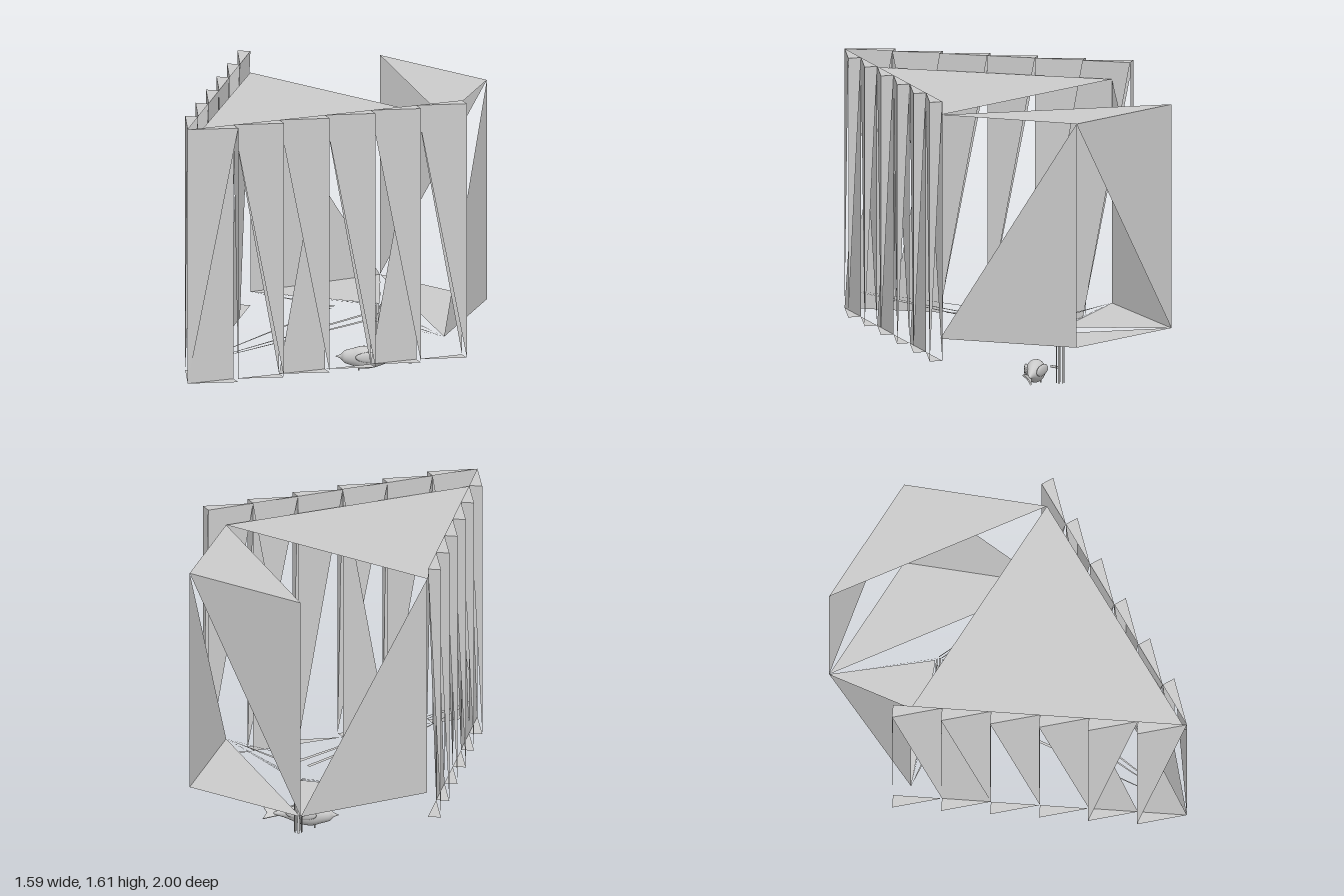
import * as THREE from 'three';

const mat = new THREE.MeshStandardMaterial({ color: 0xcccccc, side: THREE.DoubleSide });

// Mesh from a list of triangles, each three [x, y, z] corners
function panel(name, tris) {
  const g = new THREE.BufferGeometry();
  g.setAttribute('position', new THREE.Float32BufferAttribute(tris.flat(2), 3));
  g.computeVertexNormals();
  const m = new THREE.Mesh(g, mat);
  m.name = name;
  return m;
}

const LOW = 0.32, HIGH = 1.52;           // house floor and roof
const SLAT_LOW = 0.22, SLAT_HIGH = 1.61; // cladding ends
const at = (p, y) => [p[0], y, p[1]];

// Plan corners of the five-sided house
const TIP = [0, 0.99], SR = [0.67, -0.3], SL = [-0.67, -0.3], BR = [0.37, -1], BL = [-0.37, -1];

function buildHouse() {
  const house = new THREE.Group();
  house.name = 'house';
  const flat = (y, ...t) => t.map((p) => at(p, y));
  house.add(panel('roof', [flat(HIGH, SL, TIP, SR), flat(HIGH, BL, SR, BR)]));
  house.add(panel('backWall', [[at(BR, HIGH), at(BL, LOW), at(BL, HIGH)]]));
  house.add(panel('sideWallPositive', [[at(BR, HIGH), at(SR, LOW), at(BR, LOW)]]));
  house.add(panel('sideWallNegative', [[at(BL, LOW), at(SL, LOW), at(SL, HIGH)]]));
  house.add(panel('floor', [flat(LOW, SR, BR, BL), flat(LOW, BL, [-0.005, -0.57], SL)]));

  // Thin floor strips running from the corners to the perch hole and opening
  const strips = [
    [SL, [-0.15, -0.385], [-0.16, -0.35]],
    [SR, [0.1, -0.42], [0.14, -0.385]],
    [TIP, [0.15, -0.36], [0.175, -0.34]],
    [TIP, [0.06, -0.37], [0.085, -0.36]],
    [TIP, [-0.14, -0.34], [-0.16, -0.33]],
    [SR, [0.17, -0.305], [0.17, -0.295]],
    [BL, [0.0, -0.575], [0.006, -0.57]],
  ];
  for (const [corner, s] of [[SL, -1], [SR, 1]])
    for (let i = 0; i < 3; i++)
      strips.push([corner, [s * 0.022, -0.565 + i * 0.015], [s * 0.022, -0.56 + i * 0.015]]);
  house.add(panel('floorStrips', strips.map((t) => flat(LOW, ...t))));
  return house;
}

// Six overlapping wedge slats along one front wall; s mirrors in x
function buildSlats(s) {
  const group = new THREE.Group();
  group.name = s > 0 ? 'slatsPositive' : 'slatsNegative';
  for (let k = 0; k < 6; k++) {
    const c = [s * 0.122 * k, 0.995 - 0.228 * k];
    const n = [s * 0.122 * (k + 1), 0.995 - 0.228 * (k + 1)];
    const b = [n[0] + s * 0.062, n[1] + 0.033];
    const lo = (p) => at(p, SLAT_LOW), hi = (p) => at(p, SLAT_HIGH);
    // outer face keeps one half, split along either diagonal
    const leansOut = s > 0 ? k === 0 : k > 1;
    const outer = [hi(c), hi(b), leansOut ? lo(c) : lo(b)];
    // inner face alternates its remaining half
    const full = s > 0 ? k % 2 === 0 : k === 0 || k === 1 || k === 4;
    const inner = full ? [lo(c), lo(n), hi(n)] : [hi(n), hi(c), s > 0 ? hi(n) : lo(c)];
    if (!full && s > 0) inner[2] = lo(n), inner[0] = hi(n);
    const end = [hi(n), hi(b), lo(b)];
    const caps = [[hi(c), hi(b), hi(n)], [lo(c), lo(n), lo(b)]];
    group.add(panel('slat', [outer, inner, end, ...caps]));
  }
  return group;
}

// Open-sided perch rod made of separate narrow staves
function buildPerch() {
  const perch = new THREE.Group();
  perch.name = 'perch';
  const n = 7, r = 0.022;
  for (let i = 0; i < n; i++) {
    const g = new THREE.CylinderGeometry(r, r, 0.3, 1, 1, true, (i / n) * Math.PI * 2, 0.5);
    const m = new THREE.Mesh(g, mat);
    m.name = 'stave';
    m.position.set(0, 0.17, -0.545);
    perch.add(m);
  }
  const foot = new THREE.Mesh(new THREE.CylinderGeometry(0.007, 0.007, 0.06, 8), mat);
  foot.name = 'peg';
  foot.rotation.x = Math.PI / 2;
  foot.position.set(0, 0.1, -0.51);
  perch.add(foot);
  return perch;
}

// Small bird, built along +x from beak to tail then turned
function buildBird() {
  const bird = new THREE.Group();
  bird.name = 'bird';
  const profile = [[0, 0], [0.007, 0.02], [0.016, 0.035], [0.032, 0.05], [0.041, 0.075], [0.048, 0.1],
    [0.058, 0.13], [0.061, 0.16], [0.056, 0.195], [0.044, 0.235], [0.028, 0.275], [0.017, 0.31], [0.01, 0.34], [0, 0.35]];
  const curve = new THREE.SplineCurve(profile.map((p) => new THREE.Vector2(...p)));
  const pts = curve.getPoints(36).map((p) => new THREE.Vector2(Math.max(0, p.x), p.y));
  const g = new THREE.LatheGeometry(pts, 24);
  g.rotateZ(-Math.PI / 2);
  g.scale(1, 1, 0.85);
  const body = new THREE.Mesh(g, mat);
  body.name = 'body';
  bird.add(body);

  // Forked tail
  const t = new THREE.Shape([[0.27, 0.014], [0.33, 0.014], [0.405, 0.034], [0.385, 0],
    [0.405, -0.034], [0.33, -0.014], [0.27, -0.014]].map((p) => new THREE.Vector2(...p)));
  const tail = new THREE.Mesh(new THREE.ExtrudeGeometry(t, { depth: 0.008, bevelEnabled: false }), mat);
  tail.name = 'tail';
  tail.rotation.x = 0.7;
  bird.add(tail);

  // Folded wings and legs
  for (const s of [-1, 1]) {
    const wing = new THREE.Mesh(new THREE.SphereGeometry(1, 14, 10), mat);
    wing.name = 'wing';
    wing.scale.set(0.085, 0.03, 0.012);
    wing.position.set(0.2, 0.012, s * 0.043);
    wing.rotation.y = s * 0.18;
    bird.add(wing);
    const leg = new THREE.Mesh(new THREE.CylinderGeometry(0.004, 0.004, 0.05, 6), mat);
    leg.name = 'leg';
    leg.position.set(0.13, -0.042, s * 0.022);
    bird.add(leg);
  }
  bird.position.set(-0.098, 0.07, -0.315);
  bird.rotation.y = Math.atan2(0.215, 0.335);
  return bird;
}

export function createModel() {
  const model = new THREE.Group();
  model.name = 'birdhouse';
  model.add(buildHouse(), buildSlats(1), buildSlats(-1), buildPerch(), buildBird());
  return model;
}
